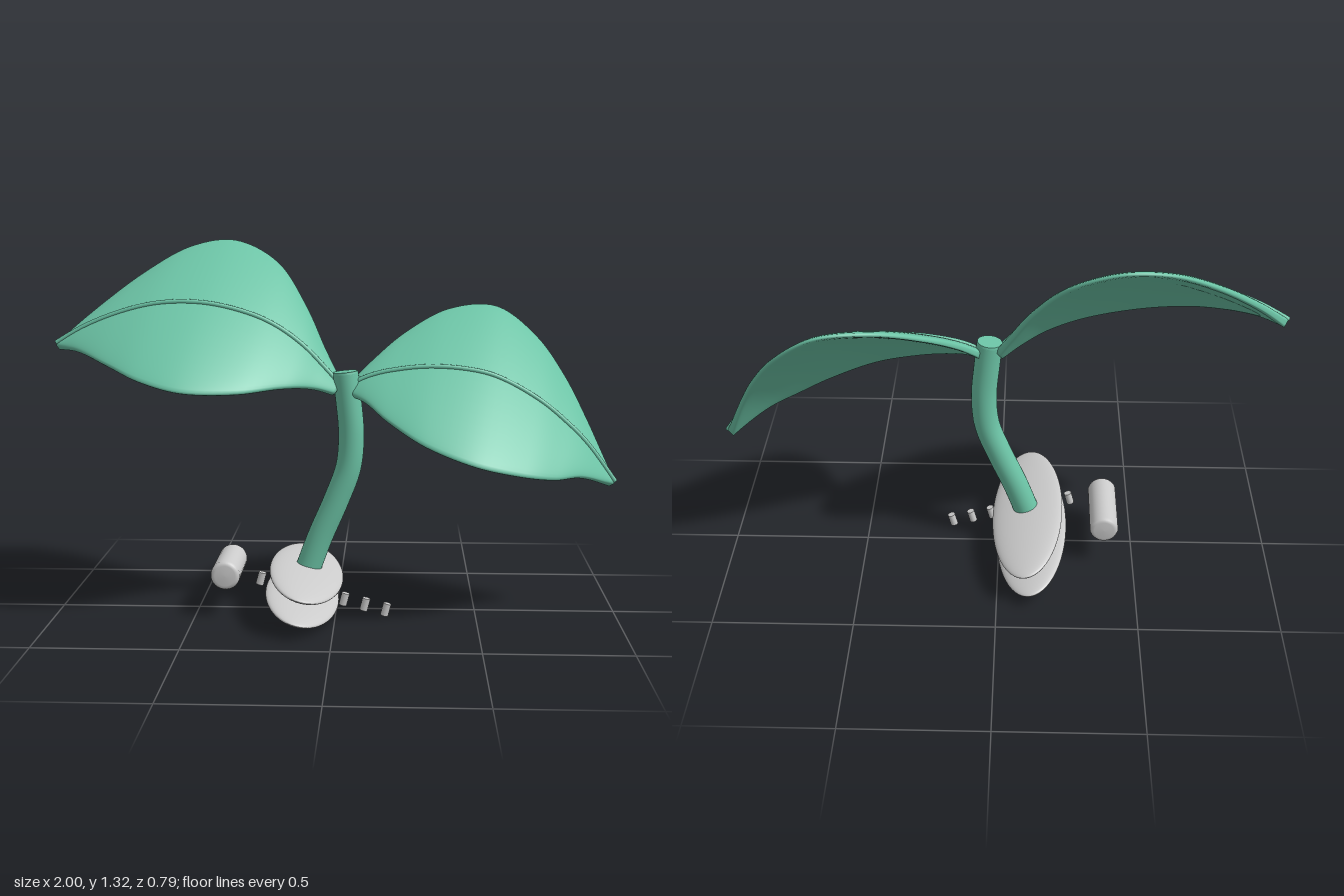
import * as THREE from 'three';

const green = new THREE.MeshStandardMaterial({ color: 0x6cc4a6 });
const grey = new THREE.MeshStandardMaterial({ color: 0xcccccc });
const TILT = -0.255; // lean of the base, about z

function add(parent, name, geometry, material, x = 0, y = 0, z = 0) {
  const mesh = new THREE.Mesh(geometry, material);
  mesh.name = name;
  mesh.position.set(x, y, z);
  parent.add(mesh);
  return mesh;
}

// Direction across a leaf, per unit of z: the front edge hangs lower
const ACROSS = new THREE.Vector3(-0.16, -0.7, 1);

// Upward normal of a leaf for a given midrib tangent
const leafNormal = (t) => ACROSS.clone().cross(t).normalize();

// Thick, slightly drooping blade with rounded edges; stations are [x, y, half width]
function bladeGeometry(curve) {
  const rings = 56, sides = 48, thick = 0.016, pos = [], index = [];
  for (let r = 0; r <= rings + 2; r++) {
    const u = THREE.MathUtils.clamp((r - 1) / rings, 0, 1);
    const closed = r === 0 || r === rings + 2; // collapsed rings seal the ends
    const p = curve.getPoint(u), t = curve.getTangent(u).setZ(0).normalize();
    const w = Math.max(p.z, 0.008);
    p.z = 0;
    const n = leafNormal(t);
    for (let k = 0; k < sides; k++) {
      const a = (k / sides) * Math.PI * 2, v = closed ? 0 : Math.cos(a), s = closed ? 0 : Math.sin(a);
      const h = Math.sign(s) * Math.pow(Math.abs(s), 0.5) * thick - 0.075 * w * v * v;
      const q = p.clone().addScaledVector(ACROSS, v * w).addScaledVector(n, h);
      pos.push(q.x, q.y, q.z);
    }
  }
  for (let r = 0; r < rings + 2; r++) {
    for (let k = 0; k < sides; k++) {
      const a = r * sides + k, c = r * sides + ((k + 1) % sides);
      index.push(a, a + sides, c, c, a + sides, c + sides);
    }
  }
  const g = new THREE.BufferGeometry();
  g.setAttribute('position', new THREE.Float32BufferAttribute(pos, 3));
  g.setIndex(index);
  g.computeVertexNormals();
  return g;
}

function leaf(name, stations) {
  const group = new THREE.Group();
  group.name = name;
  const curve = new THREE.CatmullRomCurve3(stations.map(([x, y, w]) => new THREE.Vector3(x, y - 0.012, w)));
  add(group, 'blade', bladeGeometry(curve), green);
  // Raised midrib lying on the upper face
  const rib = [];
  for (let i = 0; i <= 16; i++) {
    const t = curve.getTangent(i / 16).setZ(0).normalize();
    rib.push(curve.getPoint(i / 16).setZ(0).addScaledVector(leafNormal(t), 0.016));
  }
  const ribGeometry = new THREE.TubeGeometry(new THREE.CatmullRomCurve3(rib), 60, 0.009, 10);
  add(group, 'midrib', ribGeometry, green).material.side = THREE.DoubleSide;
  return group;
}

export function createModel() {
  const model = new THREE.Group();
  model.name = 'sprout';

  // Curved stem with a flat top
  const stemPath = new THREE.CatmullRomCurve3([
    [-0.115, 0.12], [-0.06, 0.27], [0.0, 0.41], [0.043, 0.53], [0.053, 0.65], [0.042, 0.78], [0.032, 0.865],
  ].map(([x, y]) => new THREE.Vector3(x, y, 0)));
  const stem = new THREE.Group();
  stem.name = 'stem';
  add(stem, 'stalk', new THREE.TubeGeometry(stemPath, 48, 0.046, 28), green);
  add(stem, 'stalkTop', new THREE.CylinderGeometry(0.044, 0.046, 0.012, 28), green, 0.032, 0.867, 0).rotation.z = 0.1;
  model.add(stem);

  // Two leaves, each listed in order of rising x
  model.add(leaf('rightLeaf', [
    [-0.99, 0.972, 0.008], [-0.89, 1.03, 0.09], [-0.75, 1.085, 0.21], [-0.61, 1.115, 0.305], [-0.45, 1.112, 0.347],
    [-0.27, 1.062, 0.295], [-0.14, 0.98, 0.18], [-0.06, 0.9, 0.09], [0.0, 0.833, 0.035],
  ]));
  model.add(leaf('leftLeaf', [
    [0.06, 0.83, 0.035], [0.12, 0.858, 0.095], [0.21, 0.88, 0.19], [0.36, 0.892, 0.298], [0.54, 0.867, 0.345],
    [0.7, 0.785, 0.295], [0.8, 0.705, 0.22], [0.88, 0.625, 0.125], [0.98, 0.49, 0.008],
  ]));

  // Two thin lens-shaped discs, wide along z
  for (const [name, x, y] of [['upperDisc', -0.107, 0.14], ['lowerDisc', -0.123, 0.057]]) {
    const disc = add(model, name, new THREE.SphereGeometry(1, 56, 28), grey, x, y, 0);
    disc.scale.set(0.135, 0.03, 0.393);
    disc.rotation.z = TILT;
  }

  // Row of small pegs following the tilt
  const pegs = new THREE.Group();
  pegs.name = 'pegs';
  for (let i = 0; i < 7; i++) {
    const peg = add(pegs, 'peg', new THREE.CylinderGeometry(0.014, 0.014, 0.045, 16), grey,
      -0.265 + i * 0.0742, 0.14 - i * 0.0183, 0.092);
    peg.rotation.z = TILT;
  }
  model.add(pegs);

  // Roller beside the discs, with softened ends
  const roller = new THREE.LatheGeometry([
    [0, -0.137], [0.036, -0.136], [0.047, -0.132], [0.052, -0.122],
    [0.052, 0.122], [0.047, 0.132], [0.036, 0.136], [0, 0.137],
  ].map(([r, y]) => new THREE.Vector2(r, y)), 36);
  add(model, 'roller', roller, grey, -0.39, 0.157, 0).rotation.x = Math.PI / 2;

  return model;
}
